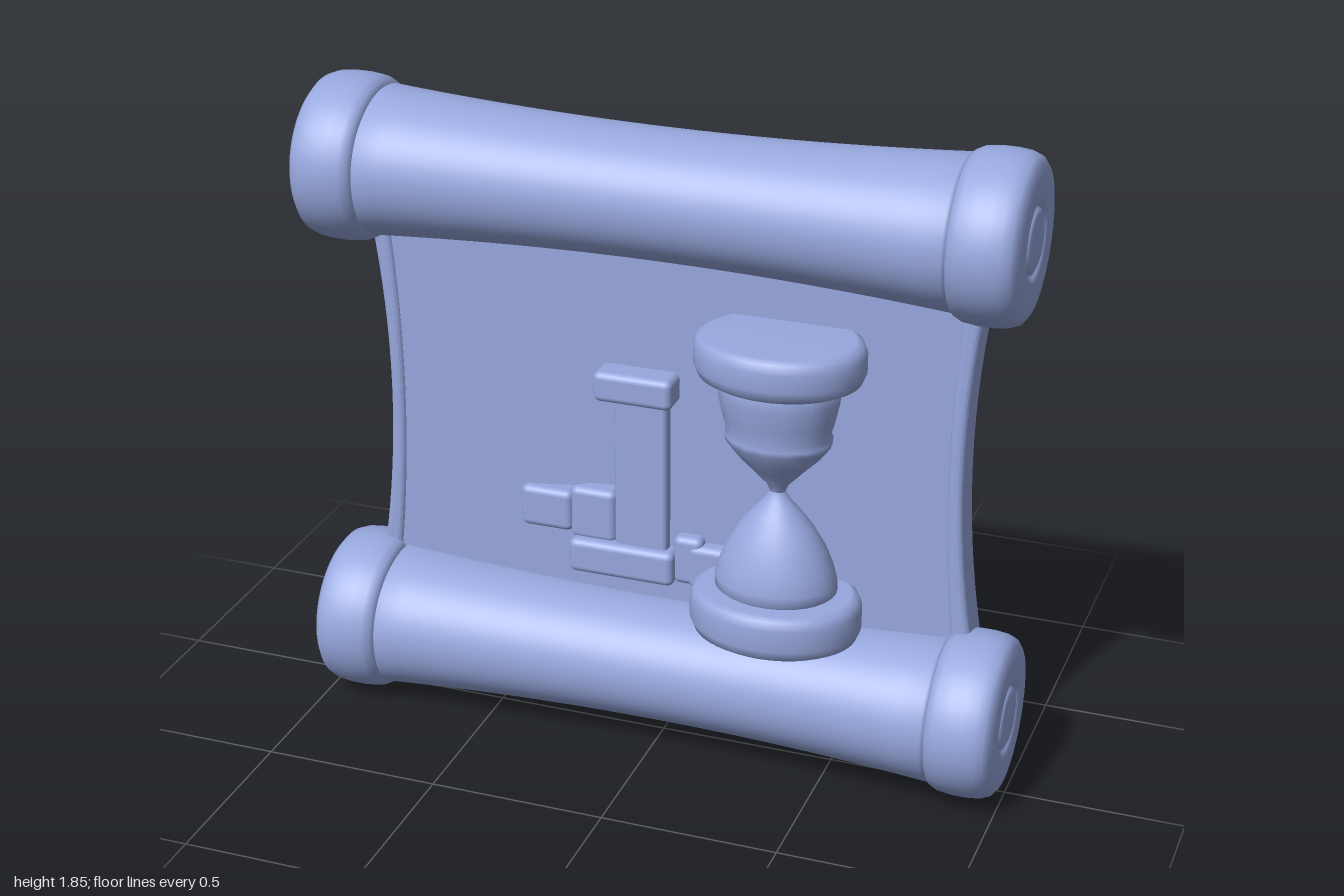
import * as THREE from 'three';
import { RoundedBoxGeometry } from 'three/addons/geometries/RoundedBoxGeometry.js';

const periwinkle = new THREE.MeshStandardMaterial({ color: 0x98a8df });
periwinkle.name = 'periwinkle';

function add(parent, name, geometry) {
  const mesh = new THREE.Mesh(geometry, periwinkle);
  mesh.name = name;
  parent.add(mesh);
  return mesh;
}

// Lathe from [radius, height] pairs
const lathe = (pairs, segments = 48) =>
  new THREE.LatheGeometry(pairs.map(([r, h]) => new THREE.Vector2(r, h)), segments);

// Rounded block given by its min and max corners
function block(parent, name, x0, x1, y0, y1, z0, z1, radius = 0.02) {
  const mesh = add(parent, name, new RoundedBoxGeometry(x1 - x0, y1 - y0, z1 - z0, 3, radius));
  mesh.position.set((x0 + x1) / 2, (y0 + y1) / 2, (z0 + z1) / 2);
  return mesh;
}

// Roll with a slightly pinched middle and a rounded cap on each end
function roller(name, y) {
  const group = new THREE.Group();
  group.name = name;
  group.position.set(0, y, -0.01);
  const body = [[0.19, -0.815]];
  for (let i = 0; i <= 24; i++) {
    const x = -0.805 + (1.61 * i) / 24;
    body.push([0.177 + 0.03 * (x / 0.8) ** 2, x]);
  }
  body.push([0.19, 0.815]);
  add(group, 'roll', lathe(body, 64).rotateZ(-Math.PI / 2).scale(1, 0.985, 1.08));
  const cap = [
    [0.18, 0.808], [0.205, 0.81], [0.222, 0.819], [0.233, 0.84], [0.238, 0.88], [0.238, 0.92],
    [0.234, 0.955], [0.224, 0.98], [0.205, 0.994], [0.175, 0.999], [0.115, 0.998], [0.1, 0.993],
    [0.094, 0.98], [0.088, 0.993], [0.075, 0.999], [0, 1],
  ];
  for (const side of [-1, 1]) {
    add(group, side > 0 ? 'leftCap' : 'rightCap',
      lathe(cap, 64).rotateZ((-side * Math.PI) / 2).scale(1, 0.965, 1.01));
  }
  return group;
}

// Curved half-width of the sheet at height y
const halfWidth = (base, flare, y) => base + flare * ((y - 0.93) / 0.48) ** 2;

function scroll() {
  const group = new THREE.Group();
  group.name = 'sheet';
  const y0 = 0.3, y1 = 1.56, steps = 20;
  const edge = (base, flare) => Array.from({ length: steps + 1 }, (_, i) => {
    const y = y0 + ((y1 - y0) * i) / steps;
    return new THREE.Vector2(halfWidth(base, flare, y), y);
  });

  // Thick panel with a narrow ragged opening above the small stones
  const right = edge(0.8, 0.025);
  const left = right.map((p) => new THREE.Vector2(-p.x, p.y)).reverse();
  const panel = new THREE.Shape([...right, ...left]);
  panel.holes.push(new THREE.Path([
    [-0.39, 0.62], [-0.39, 0.7], [-0.34, 0.705], [-0.285, 0.712], [-0.23, 0.728],
    [-0.16, 0.733], [-0.155, 0.68], [-0.17, 0.62],
  ].map(([x, y]) => new THREE.Vector2(x, y))));
  add(group, 'panel', new THREE.ExtrudeGeometry(panel, { depth: 0.1, bevelEnabled: false })
    .translate(0, 0, -0.138));

  // Low rounded rims along both side edges
  for (const side of [-1, 1]) {
    const outline = [...edge(0.815, 0.038), ...edge(0.808, 0.026).reverse()]
      .map((p) => new THREE.Vector2(side * p.x, p.y));
    add(group, side > 0 ? 'leftRim' : 'rightRim',
      new THREE.ExtrudeGeometry(new THREE.Shape(outline), {
        depth: 0.088, bevelThickness: 0.018, bevelSize: 0.018, bevelSegments: 4,
      }).translate(0, 0, -0.132));
  }
  return group;
}

function hourglass() {
  const group = new THREE.Group();
  group.name = 'hourglass';
  group.position.set(0.347, 0, 0.06);
  // Oval in plan, flattened where it meets the panel
  const part = (name, pairs, segments) => {
    const geometry = lathe(pairs, segments).scale(1, 1, 0.79);
    const pos = geometry.attributes.position;
    for (let i = 0; i < pos.count; i++) pos.setZ(i, Math.max(pos.getZ(i), -0.105));
    add(group, name, geometry);
  };
  const disc = (low, high, r) => [
    [0, low], [r - 0.035, low], [r - 0.012, low + 0.012], [r, low + 0.04],
    [r, high - 0.035], [r - 0.01, high - 0.01], [r - 0.03, high], [0, high],
  ];
  part('topPlate', disc(1.175, 1.3, 0.234));
  part('basePlate', disc(0.415, 0.552, 0.24));
  part('upperBulb', [
    [0.018, 0.84], [0.03, 0.868], [0.075, 0.915], [0.115, 0.955], [0.145, 0.995], [0.15, 1.012],
    [0.142, 1.025], [0.155, 1.07], [0.168, 1.13], [0.168, 1.165], [0.155, 1.19],
  ], 16);
  part('lowerBulb', [
    [0.15, 0.545], [0.17, 0.56], [0.17, 0.59], [0.158, 0.635], [0.135, 0.69], [0.105, 0.74],
    [0.07, 0.785], [0.035, 0.825], [0.02, 0.85], [0.016, 0.87],
  ], 32);
  return group;
}

function tower() {
  const group = new THREE.Group();
  group.name = 'pillar';
  block(group, 'pillarBase', -0.28, 0.03, 0.468, 0.57, -0.06, 0.02);
  block(group, 'pillarShaft', -0.15, 0.005, 0.55, 1.04, -0.06, -0.005, 0.015);
  block(group, 'pillarTop', -0.195, 0.032, 1.015, 1.103, -0.06, 0.04);
  return group;
}

// Small stones that poke through the panel
function stones() {
  const group = new THREE.Group();
  group.name = 'stones';
  [
    [-0.435, -0.28, 0.575, 0.698, -0.175, -0.01],
    [-0.285, -0.15, 0.56, 0.718, -0.18, -0.01],
    [-0.4, -0.26, 0.45, 0.56, -0.185, -0.1],
    [-0.26, -0.15, 0.44, 0.57, -0.19, -0.1],
    [-0.15, -0.01, 0.41, 0.52, -0.235, -0.1],
    [0.03, 0.2, 0.42, 0.58, -0.23, -0.1],
    [0.025, 0.11, 0.475, 0.62, -0.07, 0],
    [0.07, 0.2, 0.47, 0.6, -0.07, 0.005],
  ].forEach((bounds, i) => block(group, `stone${i + 1}`, ...bounds));
  return group;
}

export function createModel() {
  const model = new THREE.Group();
  model.name = 'scroll';
  model.add(roller('topRoller', 1.624), roller('bottomRoller', 0.23));
  model.add(scroll(), hourglass(), tower(), stones());
  return model;
}
